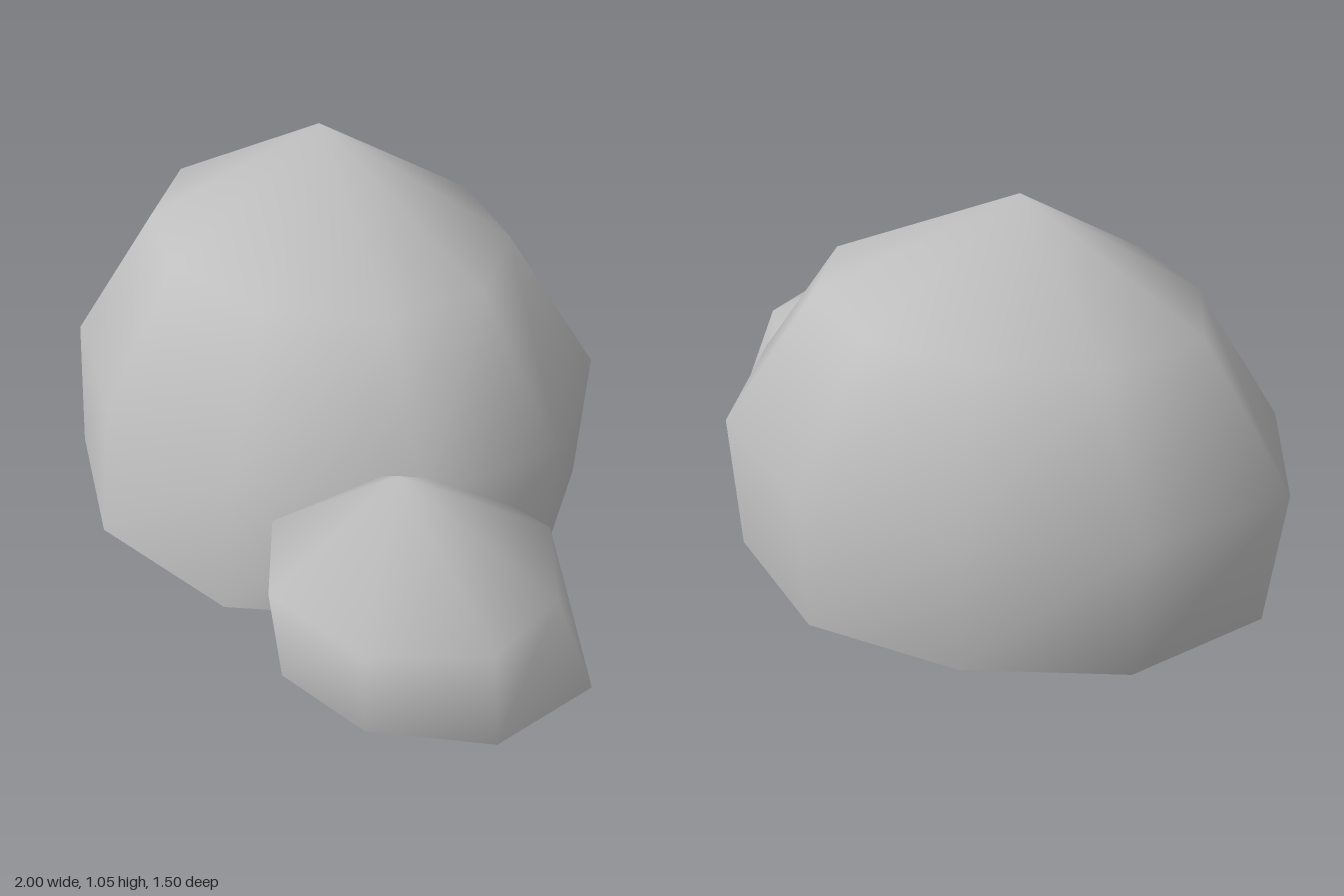
import * as THREE from 'three';

// Open-bottomed boulder: stacked rings of [x, z] points closed by a peak.
// Each ring is { y, points }, listed from the ground up.
function boulder(name, rings, peak, material) {
  const n = rings[0].points.length;
  const positions = [];
  const indices = [];
  for (const { y, points } of rings) {
    for (const [x, z] of points) positions.push(x, y, z);
  }
  positions.push(...peak);
  const top = rings.length * n;
  for (let r = 0; r < rings.length; r++) {
    for (let i = 0; i < n; i++) {
      const a = r * n + i;
      const b = r * n + (i + 1) % n;
      if (r === rings.length - 1) indices.push(b, a, top);
      else indices.push(b, a, a + n, b, a + n, b + n);
    }
  }
  const geometry = new THREE.BufferGeometry();
  geometry.setAttribute('position', new THREE.Float32BufferAttribute(positions, 3));
  geometry.setIndex(indices);
  geometry.computeVertexNormals();
  const mesh = new THREE.Mesh(geometry, material);
  mesh.name = name;
  return mesh;
}

// Shrink a ring toward a centre point
const shrink = (points, cx, cz, s) =>
  points.map(([x, z]) => [cx + (x - cx) * s, cz + (z - cz) * s]);

export function createModel() {
  const group = new THREE.Group();
  group.name = 'boulders';
  const stone = new THREE.MeshStandardMaterial({ color: 0xc0c0c0, side: THREE.DoubleSide });
  stone.name = 'grey stone';

  // Large boulder: ground ring, belly ring, shoulder ring and peak
  const largeBase = [
    [-0.95, -0.06], [-0.79, -0.46], [-0.42, -0.68], [0.01, -0.73], [0.41, -0.51],
    [0.6, -0.11], [0.51, 0.3], [0.09, 0.61], [-0.4, 0.6], [-0.78, 0.34],
  ];
  const largeBelly = [
    [-1, -0.06], [-0.82, -0.48], [-0.43, -0.7], [0.02, -0.75], [0.43, -0.53],
    [0.63, -0.11], [0.5, 0.28], [0.09, 0.555], [-0.4, 0.555], [-0.78, 0.32],
  ];
  group.add(boulder('largeBoulder', [
    { y: 0, points: largeBase },
    { y: 0.385, points: largeBelly },
    { y: 0.76, points: shrink(largeBelly, -0.22, -0.12, 0.68) },
  ], [-0.24, 1.05, -0.13], stone));

  // Small boulder: ground ring, shoulder ring and peak
  group.add(boulder('smallBoulder', [
    { y: 0, points: [
      [0.2, 0.5], [0.23, 0.22], [0.45, 0.02], [0.73, 0.02],
      [1, 0.21], [0.95, 0.53], [0.68, 0.71], [0.39, 0.7]] },
    { y: 0.275, points: [
      [0.18, 0.51], [0.22, 0.21], [0.45, 0.035], [0.73, 0.05],
      [0.92, 0.27], [0.935, 0.54], [0.7, 0.745], [0.38, 0.73]] },
  ], [0.52, 0.53, 0.41], stone));

  return group;
}
